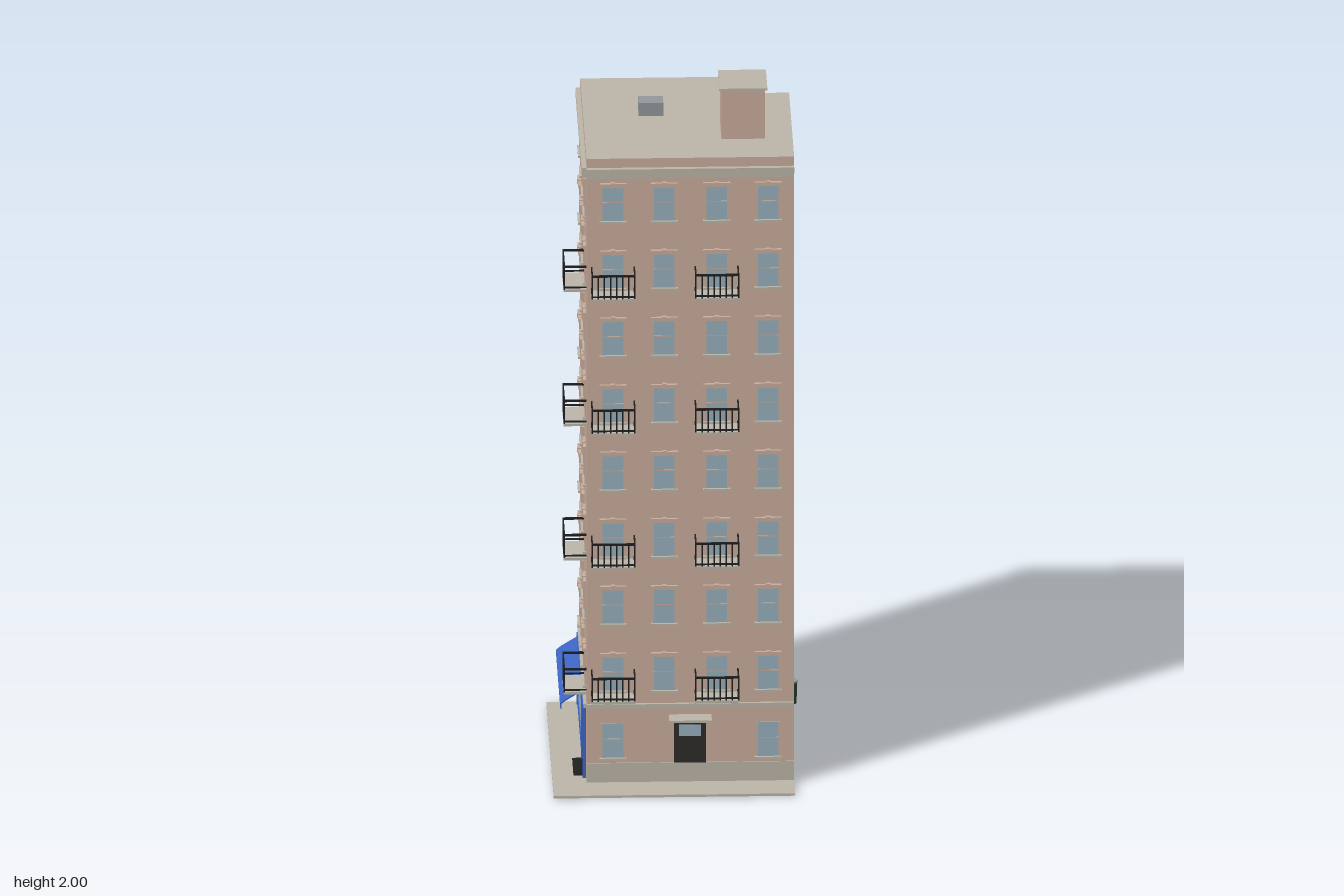
import * as THREE from 'three';

const mat = (name, color) => {
  const m = new THREE.MeshStandardMaterial({ color });
  m.name = name;
  return m;
};

export function createModel() {
  const brick = mat('brick', 0xc9ad9c);
  const stone = mat('stone', 0xbbb6a8);
  const glass = mat('glass', 0x97b0be);
  const iron = mat('iron', 0x1f1f20);
  const frame = mat('door frame', 0x2e2a2a);
  const blue = mat('shop blue', 0x3c64c4);
  const grey = mat('metal grey', 0x93979b);
  const green = mat('bin green', 0x2a4a2e);

  const model = new THREE.Group();
  model.name = 'apartmentBuilding';

  // Box given by its limits on each axis
  const box = (parent, name, m, x0, x1, y0, y1, z0, z1) => {
    const mesh = new THREE.Mesh(new THREE.BoxGeometry(x1 - x0, y1 - y0, z1 - z0), m);
    mesh.position.set((x0 + x1) / 2, (y0 + y1) / 2, (z0 + z1) / 2);
    mesh.name = name;
    parent.add(mesh);
    return mesh;
  };
  // Group lying on a wall: local x runs along the wall, local z points outwards
  const wallGroup = (name, x, z, turn) => {
    const g = new THREE.Group();
    g.name = name;
    g.position.set(x, 0, z);
    g.rotation.y = turn;
    model.add(g);
    return g;
  };

  // Pavement and tower with a notched back corner
  box(model, 'pavement', stone, -0.342, 0.315, 0.003, 0.01, -0.33, 0.33);
  const plan = new THREE.Shape();
  [[-0.25, -0.234], [0.315, -0.234], [0.315, 0.214], [0.198, 0.214], [0.198, 0.33], [-0.25, 0.33]]
    .forEach(([x, y], i) => (i ? plan.lineTo(x, y) : plan.moveTo(x, y)));
  const towerGeo = new THREE.ExtrudeGeometry(plan, { depth: 1.843, bevelEnabled: false });
  towerGeo.rotateX(-Math.PI / 2);
  const tower = new THREE.Mesh(towerGeo, [stone, brick]);
  tower.name = 'tower';
  tower.position.y = 0.006;
  model.add(tower);

  const front = wallGroup('frontFacade', 0, 0.234, 0);
  const side = wallGroup('sideFacade', -0.25, 0, -Math.PI / 2);
  const notchSide = wallGroup('notchSideWall', 0.198, 0, Math.PI / 2);
  const notchBack = wallGroup('notchBackWall', 0, -0.214, Math.PI);

  // Cornice and string course on both street walls
  for (const [g, a, b] of [[front, -0.25, 0.315], [side, -0.33, 0.234]]) {
    box(g, 'cornice', stone, a, b, 1.793, 1.805, 0, 0.009);
    box(g, 'corniceTop', stone, a, b, 1.805, 1.822, 0, 0.013);
    box(g, 'stringCourse', stone, a, b, 0.228, 0.241, 0, 0.008);
  }

  // Sash window with sill and optional lintel
  const addWindow = (wall, x, y, w, h, lintel) => {
    const g = new THREE.Group();
    g.name = 'window';
    g.position.set(x, y, 0);
    box(g, 'pane', glass, -w / 2, w / 2, 0, h, -0.002, 0.002);
    box(g, 'meetingRail', brick, -w / 2, w / 2, h * 0.53, h * 0.56, 0, 0.003);
    box(g, 'sill', stone, -w / 2 - 0.008, w / 2 + 0.008, -0.006, 0, 0, 0.009);
    for (const s of [-1, 1]) {
      const c = s * (w / 2 + 0.001);
      box(g, 'jamb', brick, c - 0.002, c + 0.002, 0, h, 0, 0.004);
    }
    if (lintel) {
      box(g, 'lintel', brick, -w / 2 - 0.008, w / 2 + 0.008, h, h + 0.011, 0, 0.008);
      box(g, 'keystone', brick, -0.006, 0.006, h, h + 0.014, 0, 0.01);
    }
    wall.add(g);
  };

  // Balcony: stone floor, iron rails, balusters on the outer side
  const addBalcony = (wall, x, y) => {
    const g = new THREE.Group();
    g.name = 'balcony';
    g.position.set(x, y, 0);
    const w = 0.06, d = 0.062, t = 0.004, top = 0.07;
    box(g, 'balconyFloor', stone, -w, w, -0.007, 0, 0, d);
    for (const [a, b] of [[0.004, 0.008], [top - 0.006, top]]) {
      box(g, 'frontRail', iron, -w, w, a, b, d - t, d);
      for (const s of [-1, 1]) {
        const c = s * (w - t / 2);
        box(g, 'sideRail', iron, c - t / 2, c + t / 2, a, b, 0, d - t);
      }
    }
    for (let i = 0; i <= 7; i++) {
      const c = -w + t / 2 + (i / 7) * (2 * w - t);
      box(g, 'baluster', iron, c - t / 2, c + t / 2, 0, top - 0.003, d - t, d);
    }
    wall.add(g);
  };

  const frontCols = [-0.178, -0.038, 0.104, 0.244];
  const sideCols = [-0.26, -0.12, 0.022, 0.165];
  for (let i = 0; i < 8; i++) {
    const y = 0.28 + i * 0.198;
    for (const x of frontCols) addWindow(front, x, y, 0.058, 0.1, true);
    for (const z of sideCols) addWindow(side, z, y, 0.058, 0.1, true);
    addWindow(notchSide, 0.272, y + 0.002, 0.05, 0.084, false);
    addWindow(notchBack, -0.257, y + 0.002, 0.05, 0.084, false);
    if (i % 2 === 0) {
      addBalcony(front, frontCols[0], y - 0.008);
      addBalcony(front, frontCols[2], y - 0.008);
      addBalcony(side, sideCols[3], y - 0.008);
    }
  }

  // Ground floor: plinth, windows, entrance door and canopy
  box(front, 'plinth', stone, -0.25, 0.315, 0.008, 0.066, 0, 0.003);
  addWindow(front, frontCols[0], 0.082, 0.058, 0.1, false);
  addWindow(front, frontCols[3], 0.082, 0.058, 0.1, false);
  box(front, 'entranceDoor', frame, -0.012, 0.075, 0.066, 0.182, 0, 0.004);
  box(front, 'doorTransom', glass, 0.002, 0.062, 0.145, 0.178, 0, 0.006);
  box(front, 'doorCanopy', stone, -0.026, 0.09, 0.2, 0.207, 0, 0.046);

  // Shopfront: blue surround, dark window frame, panes and door
  box(side, 'shopFascia', blue, -0.325, 0.205, 0.18, 0.218, 0, 0.01);
  box(side, 'shopBase', blue, -0.325, 0.065, 0.01, 0.034, 0, 0.008);
  for (const c of [-0.318, 0.068, 0.196]) {
    box(side, 'shopPilaster', blue, c - 0.008, c + 0.008, 0.01, 0.18, 0, 0.01);
  }
  box(side, 'shopWindowFrame', frame, -0.31, 0.06, 0.034, 0.18, 0, 0.004);
  for (let i = 0; i < 5; i++) {
    const a = -0.303 + i * 0.073;
    box(side, 'shopPane', glass, a, a + 0.064, 0.042, 0.172, 0, 0.006);
  }
  box(side, 'shopDoor', frame, 0.076, 0.188, 0.01, 0.18, 0, 0.004);
  box(side, 'shopDoorPane', glass, 0.098, 0.166, 0.05, 0.165, 0, 0.006);
  box(side, 'doorMat', iron, 0.07, 0.187, 0, 0.013, 0, 0.034);

  // Awning: thin sloping sheet with a short hanging edge
  const profile = new THREE.Shape();
  [[-0.254, 0.214], [-0.302, 0.184], [-0.316, 0.172], [-0.316, 0.156],
    [-0.313, 0.156], [-0.313, 0.17], [-0.301, 0.18], [-0.254, 0.209]]
    .forEach(([x, y], i) => (i ? profile.lineTo(x, y) : profile.moveTo(x, y)));
  const awning = new THREE.Mesh(
    new THREE.ExtrudeGeometry(profile, { depth: 0.376, bevelEnabled: false }), blue);
  awning.name = 'awning';
  awning.position.z = -0.311;
  model.add(awning);

  // Rooftop stair tower and ventilation unit
  box(model, 'roofTower', brick, 0.121, 0.24, 1.845, 1.993, -0.014, 0.106);
  box(model, 'roofTowerCap', stone, 0.115, 0.246, 1.993, 2, -0.02, 0.112);
  box(model, 'ventUnit', grey, -0.099, -0.032, 1.845, 1.888, -0.11, -0.061);

  // Three rubbish bins in the notch
  [[0.244, iron], [0.283, green], [0.323, green]].forEach(([x, m]) => {
    const bin = new THREE.Group();
    bin.name = 'bin';
    bin.position.set(x, 0, -0.305);
    const body = new THREE.Mesh(new THREE.CylinderGeometry(0.017, 0.015, 0.062, 8), m);
    body.name = 'binBody';
    body.position.y = 0.041;
    const lid = new THREE.Mesh(new THREE.CylinderGeometry(0.018, 0.018, 0.005, 8), grey);
    lid.name = 'binLid';
    lid.position.y = 0.0745;
    bin.add(body, lid);
    model.add(bin);
  });

  return model;
}
